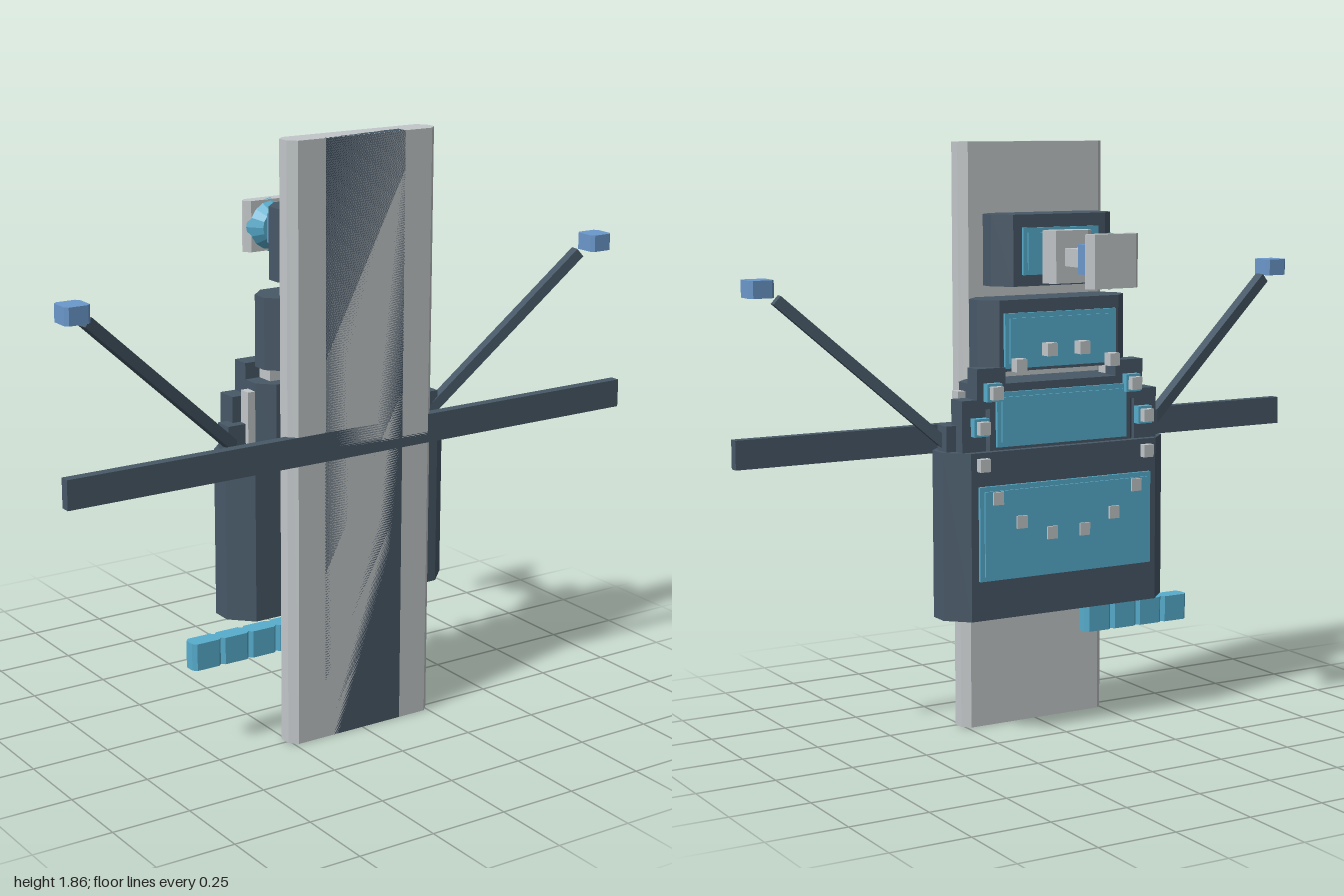
import * as THREE from 'three';

const paint = (name, color) => {
  const m = new THREE.MeshStandardMaterial({ color });
  m.name = name;
  m.flatShading = true;
  return m;
};

export function createModel() {
  const root = new THREE.Group();
  const dark = paint('slate', 0x475867);
  const grey = paint('pale grey', 0xc2c7c9);
  const cyan = paint('cyan', 0x57adcd);
  const blue = paint('blue', 0x6a98cb);

  const add = (name, geo, mat) => {
    const mesh = new THREE.Mesh(geo, mat);
    mesh.name = name;
    root.add(mesh);
    return mesh;
  };

  // Box given by its limits on each axis
  const box = (name, mat, x0, x1, y0, y1, z0, z1) => {
    const g = new THREE.BoxGeometry(x1 - x0, y1 - y0, z1 - z0);
    g.translate((x0 + x1) / 2, (y0 + y1) / 2, (z0 + z1) / 2);
    return add(name, g, mat);
  };

  // Upright prism whose plan is a rectangle with cut corners; cx, cz are the cuts
  const prism = (name, mat, x0, x1, y0, y1, z0, z1, cx, cz = cx) => {
    const s = new THREE.Shape([
      [x0 + cx, -z1], [x1 - cx, -z1], [x1, -z1 + cz], [x1, -z0 - cz],
      [x1 - cx, -z0], [x0 + cx, -z0], [x0, -z0 - cz], [x0, -z1 + cz],
    ].map(([x, y]) => new THREE.Vector2(x, y)));
    const g = new THREE.ExtrudeGeometry(s, { depth: y1 - y0, bevelEnabled: false });
    g.rotateX(-Math.PI / 2);
    g.translate(0, y0, 0);
    return add(name, g, mat);
  };

  // Tall slab with a dark core flush in its face, and the long cross bar
  box('slabCore', dark, -0.14, 0.14, 0, 1.86, 0.21, 0.284);
  box('crossBar', dark, -1, 1, 0.89, 0.98, 0.252, 0.284);
  prism('slab', grey, -0.26, 0.26, 0, 1.86, 0.197, 0.284, 0.024);

  // Stacked housings on the back, widest at the bottom
  prism('lowerHousing', dark, -0.4, 0.4, 0.395, 0.92, 0.005, 0.2, 0.065);
  prism('middleHousing', dark, -0.3, 0.3, 0.92, 1.125, 0.03, 0.192, 0.045);
  prism('upperHousing', dark, -0.265, 0.265, 1.16, 1.38, 0.04, 0.192, 0.05);
  prism('headHousing', dark, -0.215, 0.215, 1.42, 1.64, 0.04, 0.192, 0.05);

  // Raised panels: a rim plate with a slightly smaller face plate
  const panels = [
    ['lowerPanel', 0.31, 0.52, 0.815, 0.005],
    ['middlePanel', 0.235, 0.93, 1.1, 0.03],
    ['upperPanel', 0.2, 1.17, 1.34, 0.04],
    ['headPanel', 0.135, 1.455, 1.6, 0.04],
  ];
  for (const [name, w, y0, y1, z] of panels) {
    box(name, cyan, -w, w, y0, y1, z - 0.01, z + 0.01);
    box(name + 'Face', cyan, -w + 0.015, w - 0.015, y0 + 0.015, y1 - 0.015, z - 0.016, z);
  }

  // Ring of sixteen studs around the middle of the back
  for (let i = 0; i < 16; i++) {
    const a = (i + 0.5) * Math.PI / 8;
    const x = 0.302 * Math.cos(a), y = 0.94 + 0.292 * Math.sin(a);
    box('stud', grey, x - 0.018, x + 0.018, y - 0.02, y + 0.02, -0.018, 0.018);
    if (y > 0.92 && Math.abs(x) > 0.2) {
      box('studBase', cyan, x - 0.026, x + 0.026, y - 0.028, y + 0.028, 0.005, 0.032);
    }
  }

  for (const s of [-1, 1]) {
    const sideBox = (name, mat, a, b, ...rest) =>
      box(name, mat, Math.min(s * a, s * b), Math.max(s * a, s * b), ...rest);

    // Stepped blocks on the shoulders
    sideBox('innerBlock', dark, 0.2, 0.3, 1.05, 1.175, 0.03, 0.09);
    sideBox('outerBlock', dark, 0.27, 0.352, 0.92, 1.08, 0.03, 0.1);
    sideBox('lowBlock', dark, 0.3, 0.385, 0.92, 1.0, 0.07, 0.13);
    sideBox('shoulderPost', grey, 0.29, 0.325, 0.92, 1.1, 0.105, 0.145);
    sideBox('shoulderPin', grey, 0.21, 0.25, 1.1, 1.16, 0.09, 0.15);

    // Raised thin arm with a block floating past its tip
    const from = new THREE.Vector3(s * 0.35, 0.925, 0.112);
    const to = new THREE.Vector3(s * 0.885, 1.4, 0.196);
    const arm = add('arm', new THREE.BoxGeometry(0.034, 0.034, from.distanceTo(to)), dark);
    arm.position.copy(from).lerp(to, 0.5);
    arm.lookAt(to);
    const x = s * 0.934;
    prism('armTip', blue, x - 0.04, x + 0.04, 1.407, 1.46, 0.177, 0.257, 0.01);
  }

  // Row of small linked blocks low on one side
  for (let i = 0; i < 4; i++) {
    const x = -0.55 + i * 0.098;
    prism('link', cyan, x, x + 0.1, 0.277, 0.362, 0.135, 0.192, 0.012);
  }

  // Device standing out from the head: mount, stem, block, cone and square plate
  const frustum = (name, mat, r0, r1, z0, z1, sides) => {
    const g = new THREE.CylinderGeometry(r0, r1, z1 - z0, sides);
    if (sides === 4) g.rotateY(Math.PI / 4);
    g.rotateX(Math.PI / 2);
    g.translate(0, 1.51, (z0 + z1) / 2);
    return add(name, g, mat);
  };
  prism('mountPlate', grey, -0.085, 0.085, 1.43, 1.592, -0.035, 0.028, 0.028);
  box('stem', grey, -0.025, 0.025, 1.483, 1.538, -0.135, -0.03);
  prism('stemBlock', blue, -0.04, 0.04, 1.465, 1.555, -0.21, -0.125, 0.01);
  frustum('collar', cyan, 0.08, 0.05, -0.25, -0.205, 16).rotation.set(0, 0, 0);
  root.children.at(-1).geometry.dispose();
  const cone = new THREE.CylinderGeometry(0.055, 0.08, 0.045, 16);
  cone.rotateX(-Math.PI / 2);
  cone.translate(0, 1.51, -0.2275);
  // Wide end of the collar meets the square plate
  cone.attributes.position.array.forEach((v, i, p) => {
    if (i % 3 === 2) {
      const k = (v < -0.2275 ? 0.085 : 0.05) / Math.max(Math.hypot(p[i - 2], p[i - 1] - 1.51), 1e-6);
      if (Math.hypot(p[i - 2], p[i - 1] - 1.51) > 0.01) {
        p[i - 2] *= k;
        p[i - 1] = 1.51 + (p[i - 1] - 1.51) * k;
      }
    }
  });
  root.children.at(-1).geometry = cone;
  prism('squarePlate', grey, -0.09, 0.09, 1.43, 1.592, -0.284, -0.24, 0.018);

  return root;
}
